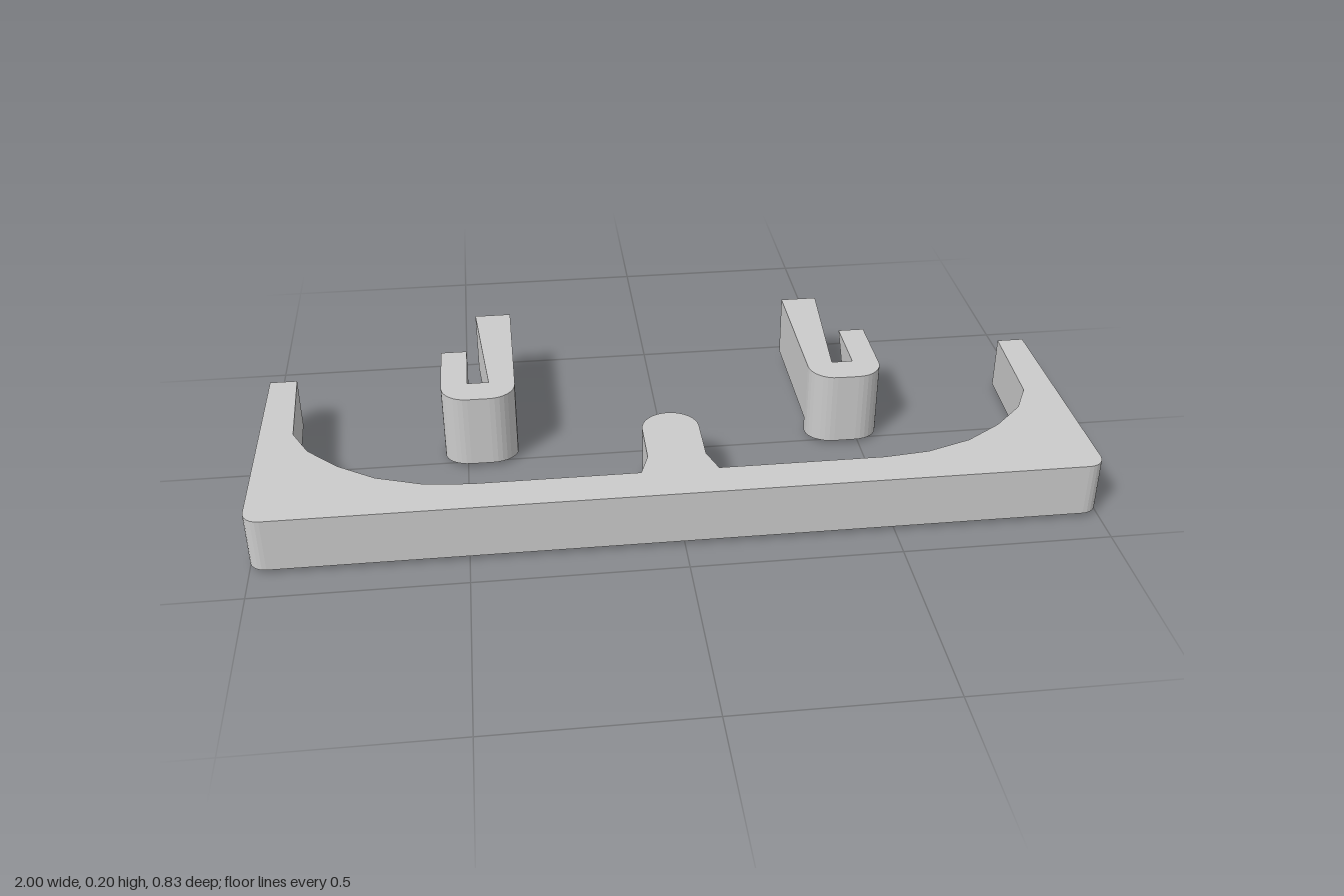
import * as THREE from 'three';

const material = new THREE.MeshStandardMaterial({ color: 0xcccccc, side: THREE.DoubleSide });

// plan points are [x, z]; slabs are extruded upward from y0 to y1
const toVectors = (points) => points.map(([x, z]) => new THREE.Vector2(x, -z));
const flip = (points) => points.map(([x, z]) => [-x, z]);

function arc(cx, cz, r, from, to, n) {
  return Array.from({ length: n + 1 }, (_, i) => {
    const a = from + (to - from) * i / n;
    return [cx + r * Math.cos(a), cz + r * Math.sin(a)];
  });
}

function slab(points, y0, y1, holes = []) {
  const shape = new THREE.Shape(toVectors(points));
  holes.forEach((h) => shape.holes.push(new THREE.Path(toVectors(h))));
  const geo = new THREE.ExtrudeGeometry(shape, { depth: y1 - y0, bevelEnabled: false });
  return geo.rotateX(-Math.PI / 2).translate(0, y0, 0);
}

function addMesh(parent, name, geometry) {
  const mesh = new THREE.Mesh(geometry, material);
  mesh.name = name;
  parent.add(mesh);
}

const rect = (x0, x1, z0, z1) => [[x0, z0], [x1, z0], [x1, z1], [x0, z1]];

function createFrame() {
  const frame = new THREE.Group();
  frame.name = 'frame';
  // left half of the outline, from the tongue tip round to the front edge
  const half = [
    ...arc(0, 0.125, 0.07, -Math.PI / 2, 0, 8),
    [0.07, 0.25], [0.092, 0.315], [0.49, 0.315], [0.6, 0.303], [0.71, 0.265],
    [0.8, 0.205], [0.875, 0.13], [0.915, 0.05], [0.927, -0.21], [0.995, -0.21],
    ...arc(0.96, 0.373, 0.04, 0, Math.PI / 2, 6),
  ];
  const outline = [...half, ...flip(half.slice(1)).reverse()];
  // recesses in the underside: bar pockets, corner pockets and arm slits
  const sidePockets = [
    rect(0.19, 0.39, 0.325, 0.39),
    [[0.92, 0.14], [0.92, 0.27], [0.75, 0.27]],
    rect(0.948, 0.966, -0.1, 0.33),
  ];
  const pockets = [...sidePockets, ...sidePockets.map(flip), rect(-0.045, 0.045, 0.22, 0.33)];
  addMesh(frame, 'frameUnderside', slab(outline, 0.013, 0.06, pockets));
  addMesh(frame, 'frameTop', slab(outline, 0.06, 0.147));
  return frame;
}

function createHook(side) {
  const hook = new THREE.Group();
  hook.name = side > 0 ? 'leftHook' : 'rightHook';
  const place = (points) => (side > 0 ? points : flip(points));

  // long wedge-shaped arm
  const arm = [[0.372, -0.413], [0.465, -0.413], [0.437, -0.055], [0.372, -0.055]];
  addMesh(hook, 'longArm', slab(place(arm), 0.04, 0.2));

  // rounded bend and short arm; its end is cut back to a low beak
  const bend = [
    [0.372, -0.055], [0.437, -0.055], [0.49, -0.055], [0.49, -0.22], [0.556, -0.22],
    ...arc(0.491, -0.04, 0.065, 0, Math.PI / 2, 8),
    ...arc(0.437, -0.04, 0.065, Math.PI / 2, Math.PI, 8),
  ];
  const geo = slab(place(bend), 0, 0.2);
  const p = geo.attributes.position;
  for (let i = 0; i < p.count; i++) {
    if (p.getY(i) > 0.1) continue;
    const z = Math.max(p.getZ(i), -0.057);
    p.setZ(i, z);
    p.setY(i, 0.013 - (0.025 - z) * 0.125);
  }
  const flat = geo.toNonIndexed ? (geo.index ? geo.toNonIndexed() : geo) : geo;
  flat.computeVertexNormals();
  addMesh(hook, 'bendAndShortArm', flat);
  return hook;
}

export function createModel() {
  const model = new THREE.Group();
  model.name = 'bracketSet';
  model.add(createFrame(), createHook(1), createHook(-1));
  return model;
}
